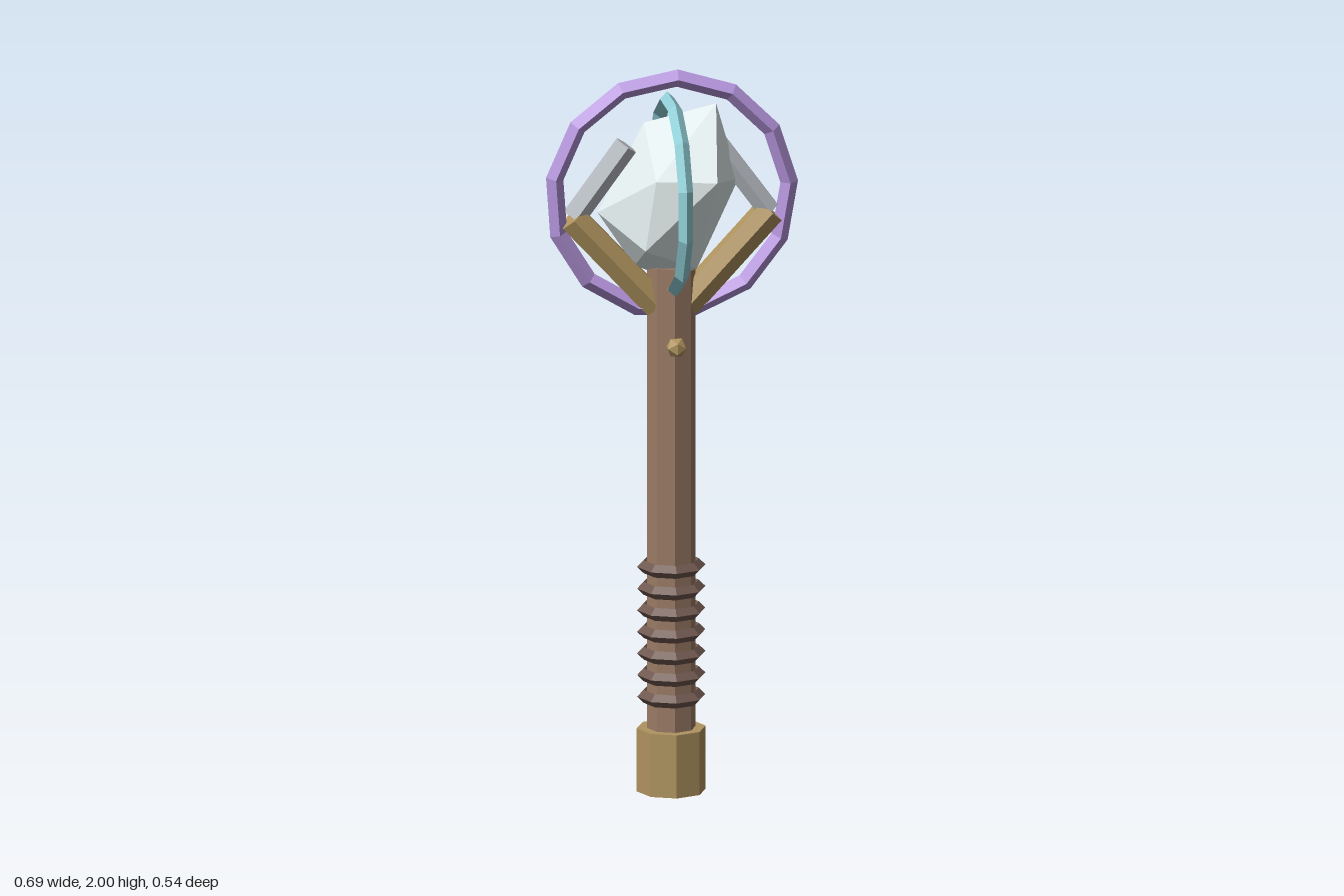
import * as THREE from 'three';
import { ConvexGeometry } from 'three/addons/geometries/ConvexGeometry.js';

const mat = (color) => new THREE.MeshStandardMaterial({ color, flatShading: true });
const V = (x, y, z = 0) => new THREE.Vector3(x, y, z);

export function createModel() {
  const model = new THREE.Group();
  const wood = mat(0x9b7b65), wrap = mat(0x705850), brass = mat(0xb0945f);
  const steel = mat(0xb9bec4), violet = mat(0xb595dc), teal = mat(0x92d0d8), gem = mat(0xdfe9e9);

  const add = (name, geometry, material, x = 0, y = 0, z = 0) => {
    const mesh = new THREE.Mesh(geometry, material);
    mesh.name = name;
    mesh.position.set(x, y, z);
    model.add(mesh);
    return mesh;
  };

  // Six-sided bar between two points, ridge towards the front
  const bar = (name, a, b, radius, material) => {
    const dir = b.clone().sub(a);
    const mesh = add(name, new THREE.CylinderGeometry(radius, radius, dir.length(), 6), material);
    mesh.position.copy(a).add(b).multiplyScalar(0.5);
    mesh.quaternion.setFromUnitVectors(V(0, 1), dir.normalize());
  };

  // Handle: shaft, pommel and grip rings
  add('shaft', new THREE.CylinderGeometry(0.066, 0.066, 1.42, 8), wood, 0, 0.75);
  add('pommel', new THREE.CylinderGeometry(0.094, 0.094, 0.175, 8), brass, 0, 0.0875);
  for (let i = 0; i < 7; i++) {
    const ring = new THREE.TorusGeometry(0.075, 0.018, 4, 8).rotateX(Math.PI / 2);
    add('gripRing', ring, wrap, 0, 0.263 + i * 0.06);
  }

  // Studs on the front and back of the shaft
  for (const s of [1, -1]) {
    add('stud', new THREE.IcosahedronGeometry(0.029, 0), brass, 0, 1.25, s * 0.087);
  }

  // Mirrored prongs with claws bending inwards
  for (const s of [1, -1]) {
    bar('prong', V(s * 0.04, 1.35), V(s * 0.27, 1.6), 0.043, brass);
    bar('claw', V(s * 0.265, 1.6), V(s * 0.122, 1.795), 0.033, steel);
  }

  // Crossed faceted hoops
  add('outerHoop', new THREE.TorusGeometry(0.322, 0.024, 4, 13).rotateZ(0.07), violet, 0, 1.654);
  add('innerHoop', new THREE.TorusGeometry(0.257, 0.02, 4, 12).rotateZ(Math.PI / 12).rotateY(Math.PI / 2),
    teal, 0, 1.654);

  // Irregular crystal
  add('crystal', new ConvexGeometry([
    V(0.115, 1.913, 0.045), V(-0.065, 1.84, -0.06), V(0.1, 1.72, 0.16), V(-0.06, 1.72, 0.12),
    V(-0.09, 1.53, 0.127), V(0.093, 1.78, -0.13), V(-0.1, 1.59, -0.16), V(0.183, 1.69, 0),
    V(-0.2, 1.61, -0.005), V(-0.1, 1.46, 0), V(0.06, 1.45, -0.1), V(0.06, 1.46, 0.06), V(0, 1.42, 0),
  ]), gem);

  return model;
}
